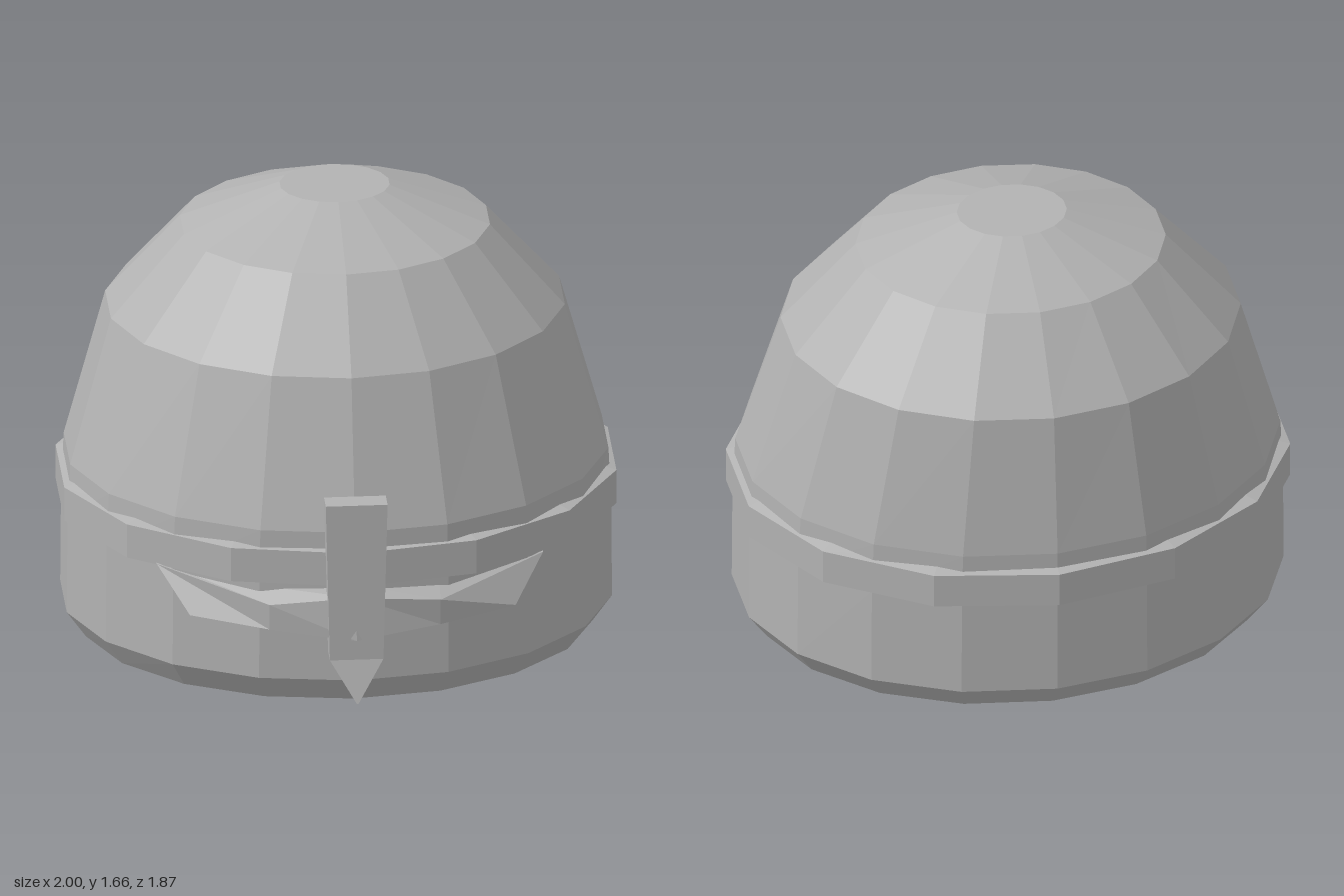
import * as THREE from 'three';

// Skin a stack of equal-length point rings with flat facets.
// Rings run counter-clockwise about the stacking direction.
function loft(rings, capped = true) {
  const pos = [];
  const tri = (a, b, c) => pos.push(...a, ...b, ...c);
  const n = rings[0].length;
  for (let r = 0; r < rings.length - 1; r++) {
    const a = rings[r], b = rings[r + 1];
    for (let i = 0; i < n; i++) {
      const j = (i + 1) % n;
      tri(a[i], a[j], b[j]);
      tri(a[i], b[j], b[i]);
    }
  }
  if (capped) {
    const s = rings[0], e = rings[rings.length - 1];
    for (let i = 1; i < n - 1; i++) {
      tri(s[0], s[i + 1], s[i]);
      tri(e[0], e[i], e[i + 1]);
    }
  }
  const g = new THREE.BufferGeometry();
  g.setAttribute('position', new THREE.Float32BufferAttribute(pos, 3));
  g.computeVertexNormals();
  return g;
}

// Horizontal oval ring
function oval(sides, y, rx, rz, cz) {
  return Array.from({ length: sides }, (_, i) => {
    const t = (i / sides) * Math.PI * 2;
    return [Math.sin(t) * rx, y, cz + Math.cos(t) * rz];
  });
}

export function createModel() {
  const steel = new THREE.MeshStandardMaterial({ color: 0xb2b2b2 });
  steel.name = 'grey steel';
  const model = new THREE.Group();
  model.name = 'helmet';
  const add = (name, geometry) => {
    const mesh = new THREE.Mesh(geometry, steel);
    mesh.name = name;
    model.add(mesh);
  };

  // Shell: y, half width, half depth, centre z
  add('shell', loft([
    [0, 0.932, 0.78, -0.04],
    [0.1, 1.003, 0.853, -0.045],
    [0.48, 1.0, 0.855, -0.045],
    [0.68, 0.99, 0.855, -0.047],
    [1.22, 0.835, 0.745, -0.095],
    [1.525, 0.563, 0.505, -0.095],
    [1.66, 0.2, 0.175, -0.115],
  ].map(([y, rx, rz, cz]) => oval(18, y, rx, rz, cz))));

  // Brow band with sloping edges that sink into the shell
  add('browBand', loft([
    [0.455, 0.94, 0.8],
    [0.48, 1.026, 0.885],
    [0.61, 1.026, 0.885],
    [0.635, 0.94, 0.8],
  ].map(([y, rx, rz]) => oval(14, y, rx, rz, -0.05)), false));

  // Nose guard: y, half width, front z, back z
  add('noseGuard', loft([
    [0.06, 0.003, 0.93, 0.855],
    [0.215, 0.097, 0.885, 0.8],
    [0.82, 0.112, 0.885, 0.8],
  ].map(([y, w, f, b]) => [[-w, y, f], [w, y, f], [w, y, b], [-w, y, b]])));

  // Swept eye guard, corners ordered top back, top front, bottom front, bottom back
  const centre = [[0, 0.47, 0.79], [0, 0.45, 0.87], [0, 0.29, 0.89], [0, 0.3, 0.78]];
  const half = [
    [[0.31, 0.455, 0.75], [0.31, 0.41, 0.815], [0.31, 0.312, 0.81], [0.31, 0.32, 0.735]],
    [[0.7, 0.49, 0.56], [0.7, 0.485, 0.58], [0.59, 0.335, 0.71], [0.59, 0.34, 0.63]],
  ];
  const mirrored = half.map((s) => s.map(([x, y, z]) => [-x, y, z])).reverse();
  add('eyeGuard', loft([...mirrored, centre, ...half]));

  return model;
}
